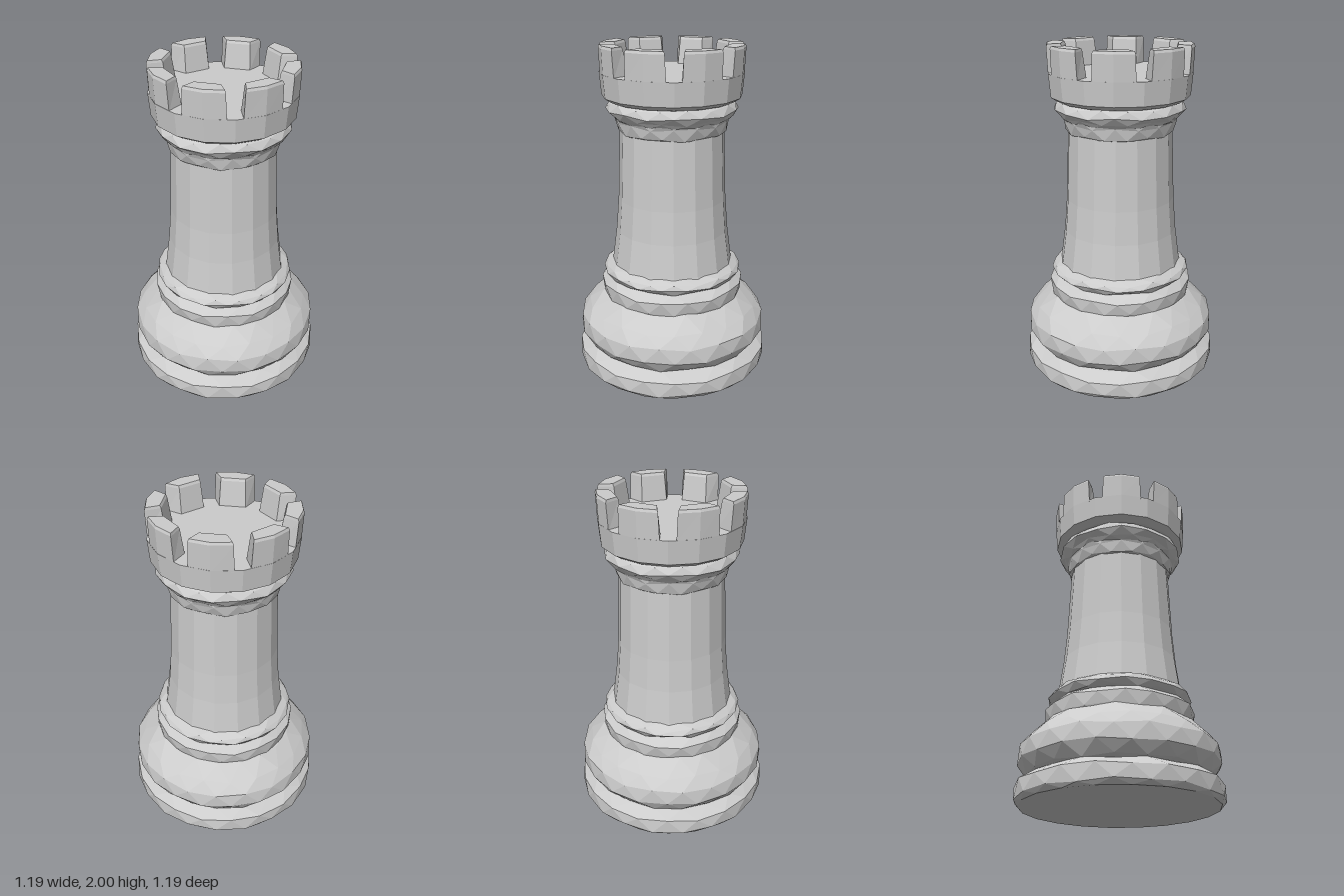
import * as THREE from 'three';

const material = new THREE.MeshStandardMaterial({ color: 0xcccccc, flatShading: true });

// Closed skin over stacked rings (bottom to top); staggered rings get zigzag facets
function loft(rings, staggered = false) {
  const n = rings[0].length, pos = [];
  const tri = (...pts) => pts.forEach((p) => pos.push(p.x, p.y, p.z));
  for (let k = 0; k < rings.length - 1; k++) {
    const L = rings[k], U = rings[k + 1];
    for (let i = 0; i < n; i++) {
      const j = (i + 1) % n;
      if (staggered && k % 2 === 0) {
        tri(L[i], L[j], U[i]);
        tri(L[j], U[j], U[i]);
      } else {
        tri(L[i], L[j], U[j]);
        tri(L[i], U[j], U[i]);
      }
    }
  }
  const centre = (ring) => ring.reduce((s, p) => s.add(p), new THREE.Vector3()).divideScalar(n);
  const bottom = rings[0], top = rings[rings.length - 1];
  const cb = centre(bottom), ct = centre(top);
  for (let i = 0; i < n; i++) {
    const j = (i + 1) % n;
    tri(cb, bottom[j], bottom[i]);
    tri(ct, top[i], top[j]);
  }
  const geo = new THREE.BufferGeometry();
  geo.setAttribute('position', new THREE.Float32BufferAttribute(pos, 3));
  geo.computeVertexNormals();
  return geo;
}

const polar = (r, a, y) => new THREE.Vector3(r * Math.sin(a), y, r * Math.cos(a));

// Turned part from [radius, height] pairs, with a slight hand-cut unevenness
function turned(name, profile, sides, { staggered = false, wobble = 0 } = {}) {
  const rings = profile.map(([r, y], k) => Array.from({ length: sides }, (_, i) => {
    const inner = k > 0 && k < profile.length - 1;
    const a = ((i + (staggered ? (k % 2) / 2 : 0)) / sides) * Math.PI * 2;
    const w = wobble * Math.sin(i * 2.4 + k * 1.7);
    return polar(r - Math.abs(w) * 0.4, a, y + (inner ? w : 0));
  }));
  const mesh = new THREE.Mesh(loft(rings, staggered), material);
  mesh.name = name;
  return mesh;
}

// One battlement block: bent outer face, flat inner face, tapering upward
function battlement() {
  const section = (y, rOut, rIn, aOut, aIn) => [
    polar(rOut - 0.005, -aOut, y), polar(rOut, 0, y), polar(rOut - 0.005, aOut, y),
    polar(rIn, aIn, y), polar(rIn, -aIn, y),
  ];
  return loft([
    section(1.83, 0.424, 0.315, 0.29, 0.25),
    section(1.985, 0.43, 0.335, 0.275, 0.215),
    section(2, 0.424, 0.342, 0.265, 0.21),
  ]);
}

export function createModel() {
  const model = new THREE.Group();
  model.name = 'rook';
  const rough = { staggered: true, wobble: 0.008 };

  // Foot and swelling base
  model.add(turned('footDisc',
    [[0.575, 0], [0.6, 0.025], [0.598, 0.11], [0.53, 0.155], [0.48, 0.17]], 20, rough));
  model.add(turned('baseBulge',
    [[0.49, 0.14], [0.54, 0.165], [0.588, 0.235], [0.582, 0.325], [0.53, 0.39], [0.44, 0.47], [0.4, 0.48]], 20, rough));

  // Mouldings under the shaft
  model.add(turned('lowerCollar',
    [[0.42, 0.44], [0.437, 0.475], [0.445, 0.55], [0.4, 0.585], [0.37, 0.6]], 18, rough));
  model.add(turned('lowerRing',
    [[0.37, 0.58], [0.405, 0.595], [0.43, 0.625], [0.415, 0.65], [0.37, 0.675]], 18, rough));

  // Tapering shaft
  model.add(turned('shaft',
    [[0.38, 0.64], [0.372, 0.68], [0.345, 0.88], [0.329, 1.08], [0.312, 1.52]], 16));

  // Mouldings under the crown
  model.add(turned('upperCollar',
    [[0.305, 1.49], [0.325, 1.5], [0.34, 1.56], [0.35, 1.6], [0.33, 1.62]], 16, rough));
  model.add(turned('upperRing',
    [[0.34, 1.57], [0.365, 1.595], [0.395, 1.63], [0.375, 1.67], [0.34, 1.69]], 16, rough));

  // Crown drum with its flat floor
  model.add(turned('crown',
    [[0.34, 1.67], [0.375, 1.68], [0.414, 1.705], [0.426, 1.84]], 16));

  // Eight battlements, with gaps on the axes and diagonals
  const battlements = new THREE.Group();
  battlements.name = 'battlements';
  const block = battlement();
  for (let i = 0; i < 8; i++) {
    const mesh = new THREE.Mesh(block, material);
    mesh.name = 'battlement';
    mesh.rotation.y = ((i + 0.5) * Math.PI) / 4;
    battlements.add(mesh);
  }
  model.add(battlements);
  return model;
}
